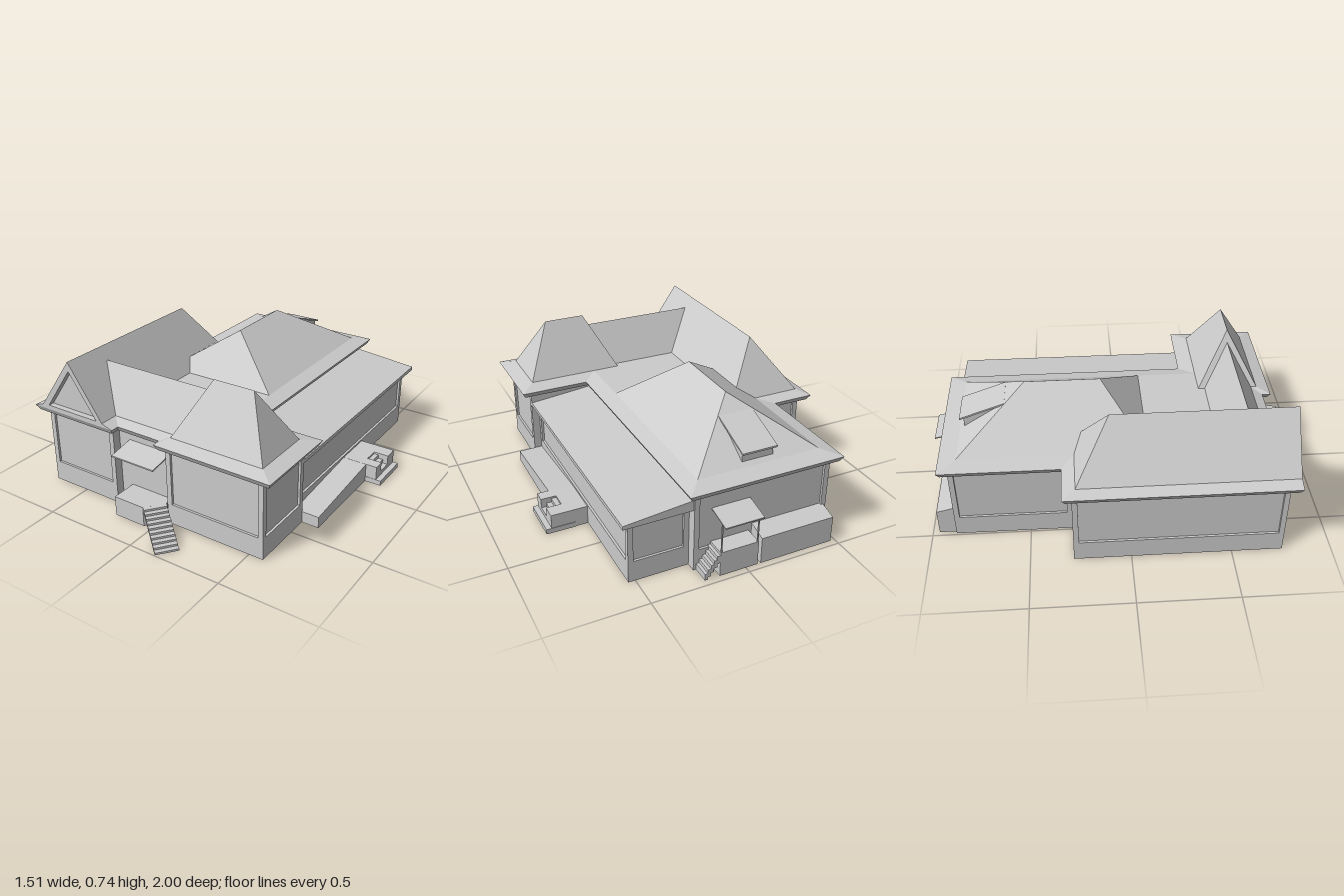
import * as THREE from 'three';

const grey = new THREE.MeshStandardMaterial({ color: 0xcccccc, flatShading: true, side: THREE.DoubleSide });

export function createModel() {
  const root = new THREE.Group();
  root.name = 'house';

  const add = (name, geo, parent = root) => {
    const mesh = new THREE.Mesh(geo, grey);
    mesh.name = name;
    parent.add(mesh);
    return mesh;
  };
  const box = (name, x0, x1, y0, y1, z0, z1, parent) => {
    const m = add(name, new THREE.BoxGeometry(x1 - x0, y1 - y0, z1 - z0), parent);
    m.position.set((x0 + x1) / 2, (y0 + y1) / 2, (z0 + z1) / 2);
    return m;
  };
  const shapeOf = (pts) => new THREE.Shape(pts.map(([x, y]) => new THREE.Vector2(x, y)));
  const extrude = (shape, depth) => new THREE.ExtrudeGeometry(shape, { depth, bevelEnabled: false });
  // Profile in (z, y), running from x0 to x1
  const prismX = (name, pts, x0, x1) => {
    const m = add(name, extrude(shapeOf(pts), x1 - x0));
    m.rotation.y = -Math.PI / 2;
    m.position.x = x1;
    return m;
  };

  // Roof made of stacked rectangles [x0, x1, z0, z1, y]; a ridge is a rectangle of no width
  const roof = (name, rings, openFront = false) => {
    const pos = [];
    const corners = ([x0, x1, z0, z1, y]) => [[x0, y, z0], [x1, y, z0], [x1, y, z1], [x0, y, z1]];
    for (let r = 0; r < rings.length - 1; r++) {
      const lo = corners(rings[r]), hi = corners(rings[r + 1]);
      for (let i = 0; i < 4; i++) {
        if (openFront && i === 2 && r === rings.length - 2) continue;
        const j = (i + 1) % 4;
        pos.push(...lo[i], ...hi[i], ...hi[j], ...lo[i], ...hi[j], ...lo[j]);
      }
    }
    const geo = new THREE.BufferGeometry();
    geo.setAttribute('position', new THREE.Float32BufferAttribute(pos, 3));
    geo.computeVertexNormals();
    return add(name, geo);
  };
  // Soffit, fascia, shallow skirt, then the steep hip up to the ridge
  const eavedRoof = (name, [x0, x1, z0, z1], foot, ridge, openFront) => {
    const inset = (d, y) => [x0 + d, x1 - d, z0 + d, z1 - d, y];
    return roof(name, [inset(0.06, 0.412), inset(0.015, 0.412), [x0, x1, z0, z1, 0.44],
      [...foot, 0.46], ridge], openFront);
  };

  // Outer walls, walked round the plan: [x, z, height of the wall that starts here]
  const H = 0.414, A = 0.335;
  const plan = [
    [-0.705, 0.755, H], [-0.285, 0.755, H], [-0.285, 0.71, H], [0.035, 0.71, H], [0.035, 0.755, H],
    [0.575, 0.755, H], [0.575, 0.40, A], [0.535, 0.40, A], [0.535, -0.83, A], [0.23, -0.83, H],
    [0.23, -0.88, H], [-0.49, -0.88, H], [-0.49, -0.285, H], [-0.705, -0.285, H],
  ];
  const walls = new THREE.Group();
  walls.name = 'walls';
  root.add(walls);
  plan.forEach(([x, z, h], i) => {
    const [x2, z2] = plan[(i + 1) % plan.length];
    const len = Math.hypot(x2 - x, z2 - z);
    const wall = new THREE.Group();
    wall.name = 'wall';
    wall.position.set(x, 0, z);
    wall.rotation.y = Math.atan2(z - z2, x2 - x);
    walls.add(wall);
    const plain = len < 0.1 || i === 2;
    const shape = shapeOf([[0, 0], [len, 0], [len, h], [0, h]]);
    if (!plain) {
      const e = 0.027;
      shape.holes.push(new THREE.Path([[e, 0.11], [e, h - 0.003], [len - e, h - 0.003], [len - e, 0.11]]
        .map(([a, b]) => new THREE.Vector2(a, b))));
      add('recessedPanel', new THREE.PlaneGeometry(len - 0.03, h - 0.1), wall).position.set(len / 2, h / 2 + 0.05, -0.012);
    }
    add('wallFrame', extrude(shape, 0.015), wall).position.z = -0.015;
  });
  // Upper walls above the side annex
  box('upperSideWall', 0.215, 0.23, 0.33, H, -0.83, 0.40);
  box('upperWingWall', 0.23, 0.575, 0.33, H, 0.39, 0.40);

  // Roofs
  eavedRoof('mainRoofSkirt', [-0.534, 0.275, -0.926, 0.52], [-0.45, 0.195, -0.835, 0.45],
    [-0.45, 0.195, -0.835, 0.45, 0.46]);
  roof('mainHipRoof', [[-0.45, 0.195, -0.835, 0.10, 0.46], [-0.127, -0.127, -0.50, -0.12, 0.675]]);
  box('flatRoof', -0.315, 0.195, 0.456, 0.46, 0.09, 0.46);
  eavedRoof('rightWingRoof', [0, 0.635, 0.333, 0.80], [0.05, 0.555, 0.415, 0.73],
    [0.193, 0.41, 0.575, 0.575, 0.735]);
  eavedRoof('frontLinkRoof', [-0.45, 0.2, 0.395, 0.755], [-0.455, 0.165, 0.45, 0.70],
    [-0.458, 0.165, 0.575, 0.575, 0.675]);
  eavedRoof('leftGableRoof', [-0.757, -0.25, -0.33, 0.80], [-0.70, -0.31, -0.265, 0.80],
    [-0.502, -0.502, -0.095, 0.80, 0.735], true);

  // Gable front with a recessed triangle
  const gable = shapeOf([[-0.70, 0.46], [-0.31, 0.46], [-0.502, 0.735]]);
  gable.holes.push(new THREE.Path([[-0.66, 0.463], [-0.502, 0.685], [-0.345, 0.463]]
    .map(([a, b]) => new THREE.Vector2(a, b))));
  add('gableFrame', extrude(gable, 0.04)).position.z = 0.76;
  add('gablePanel', new THREE.ShapeGeometry(shapeOf([[-0.69, 0.45], [-0.32, 0.45], [-0.502, 0.71]]))).position.z = 0.77;

  // Lean-to roof of the side annex
  add('annexRoof', extrude(shapeOf([[0.22, 0.33], [0.575, 0.33], [0.575, 0.35], [0.22, 0.385]]), 1.273)).position.z = -0.873;

  // Shed dormer on the back slope
  prismX('dormerRoof', [[-0.60, 0.613], [-0.83, 0.53], [-0.83, 0.521], [-0.60, 0.604]], -0.22, -0.035);
  prismX('dormerWall', [[-0.60, 0.606], [-0.81, 0.53], [-0.81, 0.465]], -0.21, -0.045);

  // Front porch: landing, canopy and slanted flight of steps
  const landing = add('frontLanding', extrude(shapeOf(
    [[-0.22, -0.70], [-0.22, -0.845], [-0.045, -0.845], [0.027, -0.755], [0.027, -0.70]]), 0.105));
  landing.rotation.x = -Math.PI / 2;
  prismX('frontCanopy', [[0.71, 0.36], [0.845, 0.335], [0.845, 0.328], [0.71, 0.353]], -0.22, 0.03);
  const n = 10, run = 0.242 / n, rise = 0.105 / n;
  const saw = [[0, 0.105]];
  for (let i = 0; i < n; i++) {
    saw.push([(i + 1) * run, 0.105 - i * rise], [(i + 1) * run, 0.105 - (i + 1) * rise]);
  }
  saw.push([0.225, 0], [0, 0.085]);
  const steps = add('frontSteps', extrude(shapeOf(saw), 0.115));
  steps.rotation.y = -0.672;
  steps.position.set(0.027, 0, 0.755);

  // Side entrance: ramp, cheek blocks and steps
  prismX('sideRamp', [[0.40, 0], [0.40, 0.06], [-0.12, 0.10], [-0.12, 0]], 0.53, 0.665);
  box('sideLanding', 0.53, 0.645, 0, 0.10, -0.325, -0.11);
  for (const [z0, z1] of [[-0.325, -0.25], [-0.17, -0.11]]) box('stepCheek', 0.6, 0.725, 0, 0.10, z0, z1);
  for (let i = 0; i < 3; i++) box('sideStep', 0.6, 0.725 - i * 0.027, 0, 0.05 + i * 0.02, -0.25, -0.17);
  box('bottomStep', 0.6, 0.753, 0, 0.027, -0.328, -0.108);

  // Back porch: cellar hatch, landing, steps, canopy and posts
  prismX('cellarHatch', [[-0.87, 0], [-0.87, 0.165], [-0.967, 0.14], [-0.967, 0]], -0.476, -0.08);
  box('backLanding', -0.063, 0.138, 0, 0.13, -0.967, -0.87);
  for (let i = 0; i < 5; i++) {
    const x = 0.138 + i * 0.0155, y = 0.115 - i * 0.02;
    box('backStep', x, x + 0.0155, Math.max(0, y - 0.04), y, -0.967, -0.87);
  }
  prismX('backCanopy', [[-0.87, 0.315], [-1, 0.287], [-1, 0.281], [-0.87, 0.309]], -0.063, 0.138);
  for (const x of [-0.06, 0.13]) box('canopyPost', x, x + 0.006, 0.13, 0.29, -0.967, -0.961);

  return root;
}
